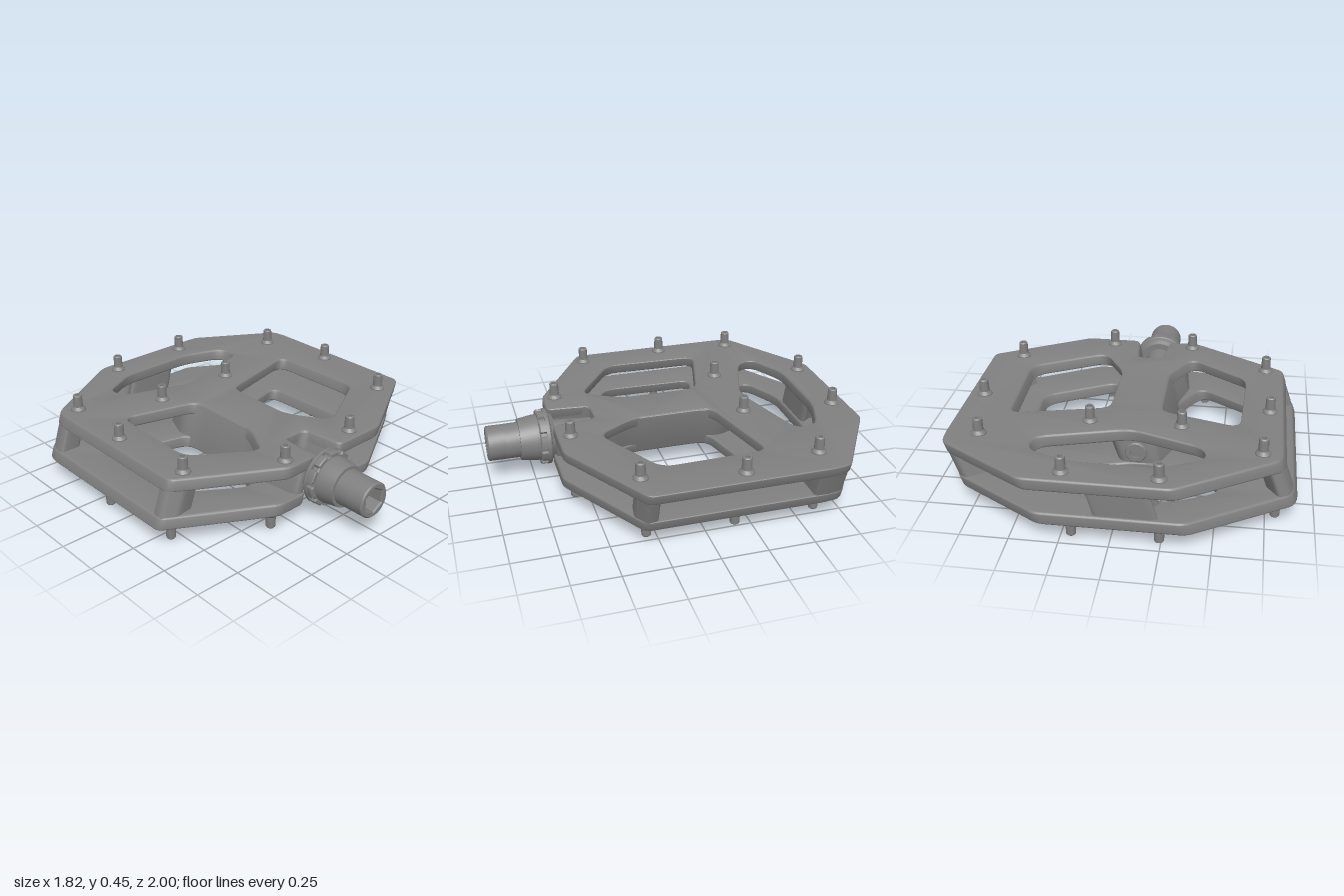
import * as THREE from 'three';
import { toCreasedNormals } from 'three/addons/utils/BufferGeometryUtils.js';

const MID = 0.23;      // height of the axle line
const AXLE_X = -0.065; // the spindle sits a little off centre
const mat = new THREE.MeshStandardMaterial({ color: 0x808080 });

function add(parent, name, geometry) {
  const mesh = new THREE.Mesh(geometry, mat);
  mesh.name = name;
  parent.add(mesh);
  return mesh;
}

// Closed outline whose corners are rounded by up to r
function rounded(points, r, Type = THREE.Shape) {
  const path = new Type();
  const v = points.map(p => new THREE.Vector2(...p));
  v.forEach((p, i) => {
    const a = v[(i + v.length - 1) % v.length], b = v[(i + 1) % v.length];
    const toward = q => p.clone().lerp(q, Math.min(0.45, r / p.distanceTo(q)));
    const s = toward(a), e = toward(b);
    if (i === 0) path.moveTo(s.x, s.y); else path.lineTo(s.x, s.y);
    path.quadraticCurveTo(p.x, p.y, e.x, e.y);
  });
  path.closePath();
  return path;
}

// Plan shape (x, z) made solid between two heights, then leaned sideways
function slab(shape, y0, y1, bevel) {
  const g = new THREE.ExtrudeGeometry(shape, {
    depth: y1 - y0 - 2 * bevel, bevelEnabled: bevel > 0, bevelSize: bevel,
    bevelThickness: bevel, bevelOffset: -bevel, bevelSegments: 3, curveSegments: 6,
  });
  g.rotateX(Math.PI / 2).translate(0, y1 - bevel, 0);
  const p = g.attributes.position;
  for (let i = 0; i < p.count; i++) {
    const t = Math.min(1, Math.abs(p.getX(i) - AXLE_X) / 0.45);
    p.setX(i, p.getX(i) + (p.getY(i) - MID) * (0.25 + 0.1 * t));
  }
  return toCreasedNormals(g, 0.6);
}

// Lathe around the z axis; profile given as [radius, z]
function turned(profile, segments = 40) {
  const g = new THREE.LatheGeometry(profile.map(p => new THREE.Vector2(...p)), segments);
  return toCreasedNormals(g.rotateX(Math.PI / 2), 0.6);
}

const ring = (n, r, turn = 0) => Array.from({ length: n }, (_, i) => {
  const a = turn + i / n * Math.PI * 2;
  return new THREE.Vector2(r * Math.cos(a), r * Math.sin(a));
});

function plateShape() {
  const shape = rounded([
    [-0.34, -1], [0.395, -1], [0.855, -0.715], [0.867, -0.63], [0.867, 0.335], [0.335, 0.647],
    [0.03, 0.647], [0.008, 0.41], [-0.138, 0.41], [-0.16, 0.647],
    [-0.335, 0.647], [-0.867, 0.335], [-0.867, -0.61], [-0.85, -0.675],
  ], 0.035);
  const holes = [
    [[-0.27, -0.81], [0.18, -0.81], [0.40, -0.73], [0.41, -0.61], [-0.065, -0.468], [-0.46, -0.6], [-0.49, -0.7]],
    [[0.07, -0.24], [0.59, -0.37], [0.605, 0.2], [0.2, 0.425], [0.07, 0.2]],
    [[-0.2, -0.24], [-0.64, -0.36], [-0.655, 0.19], [-0.32, 0.415], [-0.2, 0.2]],
  ];
  shape.holes = holes.map(h => rounded(h, 0.07, THREE.Path));
  return shape;
}

function buildPin() {
  const pin = new THREE.Group();
  const profile = [[0, -0.01], [0.041, -0.01], [0.041, 0.006], [0.033, 0.015], [0.027, 0.022],
    [0.025, 0.085], [0.021, 0.09], [0.013, 0.09], [0.013, 0.065], [0, 0.065]];
  const g = new THREE.LatheGeometry(profile.map(p => new THREE.Vector2(...p)), 16);
  add(pin, 'pinStud', toCreasedNormals(g, 0.6));
  return pin;
}

function buildSpindle() {
  const s = new THREE.Group();
  s.name = 'spindle';
  s.position.set(AXLE_X, MID, 0);
  // Tapered axle lying in the front slot
  add(s, 'axle', turned([[0, 0.38], [0.07, 0.38], [0.088, 0.66], [0, 0.66]]));
  // Lock ring: plain rim behind, notched rim in front
  const gear = new THREE.Shape();
  const teeth = 10;
  for (let i = 0; i < teeth; i++) {
    [[0, 0.152], [0.68, 0.152], [0.74, 0.138], [0.94, 0.138]].forEach(([f, r], k) => {
      const n = k === 0 ? 4 : 1; // several steps along each tooth's arc
      for (let j = 0; j < n; j++) {
        const a = (i + f + j * 0.17) / teeth * Math.PI * 2;
        gear[i + j + k ? 'lineTo' : 'moveTo'](r * Math.cos(a), r * Math.sin(a));
      }
    });
  }
  gear.closePath();
  const lock = new THREE.ExtrudeGeometry(gear, { depth: 0.035, bevelSize: 0.006, bevelThickness: 0.006, bevelOffset: -0.006, bevelSegments: 1 });
  add(s, 'lockRing', toCreasedNormals(lock, 0.5)).position.z = 0.675;
  add(s, 'lockRingRim', turned([[0, 0.63], [0.12, 0.63], [0.135, 0.652], [0.15, 0.656], [0.155, 0.662], [0.155, 0.68], [0, 0.68]]));
  // Tapered shoulder and threaded end
  add(s, 'shoulder', turned([[0, 0.71], [0.128, 0.71], [0.128, 0.735], [0.115, 0.822], [0, 0.822]]));
  add(s, 'shaft', turned([[0, 0.8], [0.098, 0.8], [0.097, 0.9], [0, 0.9]]));
  const end = new THREE.Shape().absarc(0, 0, 0.097, 0, Math.PI * 2);
  end.holes.push(new THREE.Path(ring(6, 0.066, Math.PI / 6)));
  const tip = new THREE.ExtrudeGeometry(end, { depth: 0.092, bevelSize: 0.008, bevelThickness: 0.008, bevelOffset: -0.008, bevelSegments: 1, curveSegments: 20 });
  add(s, 'hexSocketEnd', toCreasedNormals(tip, 0.5)).position.z = 0.9;
  // Retaining nut at the inner end
  add(s, 'endNut', turned([[0, -0.475], [0.03, -0.475], [0.03, -0.488], [0.052, -0.488], [0.058, -0.48], [0.058, -0.42], [0, -0.42]]));
  return s;
}

export function createModel() {
  const model = new THREE.Group();
  model.name = 'platformPedal';

  // Upper and lower frame plates
  const body = new THREE.Group();
  body.name = 'body';
  model.add(body);
  add(body, 'topPlate', slab(plateShape(), 0.293, 0.36, 0.011));
  add(body, 'bottomPlate', slab(plateShape(), 0.1, 0.167, 0.011));

  // Spine carrying the axle, slotted at the front
  const L = AXLE_X - 0.14, R = AXLE_X + 0.14;
  add(body, 'spine', slab(rounded([
    [L + 0.04, -0.475], [R - 0.04, -0.475], [R + 0.03, -0.3], [R, -0.18], [R, 0.22], [R + 0.05, 0.4], [R + 0.02, 0.635],
    [0.03, 0.635], [0.008, 0.41], [-0.138, 0.41], [-0.16, 0.635],
    [L - 0.02, 0.635], [L - 0.05, 0.4], [L, 0.22], [L, -0.18], [L - 0.03, -0.3],
  ], 0.04), 0.102, 0.358, 0.012));

  // Waisted web in the middle of the back edge
  add(body, 'backWeb', slab(rounded([
    [-0.24, -0.985], [0.12, -0.985], [0.04, -0.9], [0.11, -0.82], [-0.23, -0.82], [-0.17, -0.9],
  ], 0.06), 0.15, 0.31, 0));

  // Corner posts joining the plates
  const frontPost = [[0.862, 0.27], [0.862, 0.332], [0.785, 0.378], [0.68, 0.36], [0.74, 0.28]];
  const posts = {
    leftFrontPost: frontPost,
    rightFrontPost: frontPost.map(([x, z]) => [-x, z]),
    leftBackPost: [[0.862, -0.557], [0.862, -0.64], [0.85, -0.71], [0.8, -0.742], [0.66, -0.64], [0.7, -0.557]],
    rightBackPost: [[-0.862, -0.557], [-0.862, -0.61], [-0.845, -0.67], [-0.79, -0.705], [-0.72, -0.61], [-0.75, -0.557]],
  };
  for (const [name, points] of Object.entries(posts)) {
    add(body, name, slab(rounded(points, 0.02), 0.15, 0.31, 0));
  }

  model.add(buildSpindle());

  // Grip pins on both faces
  const topPins = [[-0.235, -0.917], [0.24, -0.917], [-0.72, -0.617], [0.735, -0.61], [-0.295, -0.4], [0.19, -0.405],
    [-0.75, -0.18], [0.825, -0.182], [-0.72, 0.315], [0.73, 0.333], [-0.27, 0.577], [0.21, 0.577]];
  const bottomPins = [[-0.24, -0.915], [0.2, -0.915], [-0.8, -0.62], [0.7, -0.62], [-0.32, -0.42], [0.17, -0.42],
    [-0.84, -0.17], [0.72, -0.17], [-0.8, 0.3], [0.7, 0.3], [-0.36, 0.57], [0.23, 0.57]];
  for (const [name, list, y, turn] of [['topPin', topPins, 0.36, 0], ['bottomPin', bottomPins, 0.09, Math.PI]]) {
    for (const [x, z] of list) {
      const pin = buildPin();
      pin.name = name;
      pin.position.set(x, y, z);
      pin.rotation.z = turn;
      model.add(pin);
    }
  }
  return model;
}
